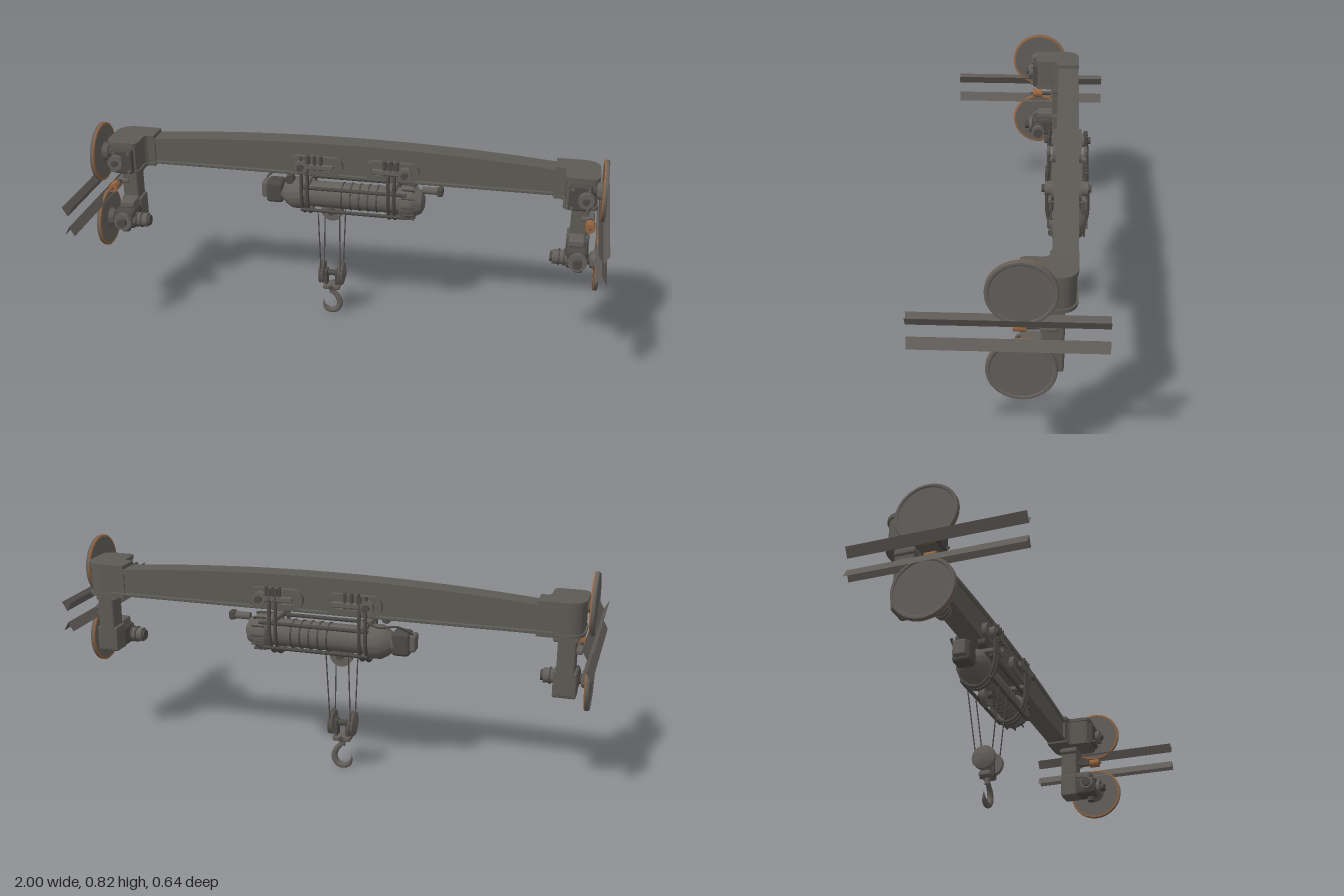
import * as THREE from 'three';
import { toCreasedNormals } from 'three/addons/utils/BufferGeometryUtils.js';
import { RoundedBoxGeometry } from 'three/addons/geometries/RoundedBoxGeometry.js';

const mat = (name, color, side = THREE.FrontSide) => Object.assign(new THREE.MeshStandardMaterial({ color, side }), { name });
const V = (x, y, z) => new THREE.Vector3(x, y, z);

export function createModel() {
  const root = new THREE.Group();
  root.name = 'overheadCrane';
  const steel = mat('steel grey', 0x625e5a);
  const beamGrey = mat('beam grey', 0x5c5a54);
  const dark = mat('dark steel', 0x4b4945);
  const rust = mat('copper brown', 0x94643f);
  const railGrey = mat('rail grey', 0x625e5a, THREE.DoubleSide);

  const add = (name, geo, m, x = 0, y = 0, z = 0) => {
    const mesh = new THREE.Mesh(geo, m);
    mesh.name = name;
    mesh.position.set(x, y, z);
    root.add(mesh);
    return mesh;
  };
  const box = (name, m, w, h, d, x, y, z, r = 0.008) =>
    add(name, new RoundedBoxGeometry(w, h, d, 2, Math.min(r, w / 3, h / 3, d / 3)), m, x, y, z);
  // Cylinder along a chosen axis
  const cyl = (name, m, axis, r, len, x, y, z, r2 = r, n = 28) => {
    const mesh = add(name, new THREE.CylinderGeometry(r2, r, len, n), m, x, y, z);
    if (axis === 'x') mesh.rotation.z = -Math.PI / 2;
    if (axis === 'z') mesh.rotation.x = Math.PI / 2;
    return mesh;
  };
  // Turned part along x, profile as [radius, offset]; s flips its direction
  const turned = (name, m, profile, x, y, z, s = 1, n = 40) => {
    const g = new THREE.LatheGeometry(profile.map(([r, t]) => new THREE.Vector2(r, t)), n);
    const mesh = add(name, toCreasedNormals(g, 0.6), m, x, y, z);
    mesh.rotation.z = -s * Math.PI / 2;
    return mesh;
  };
  const tube = (name, m, pts, r, n = 30) =>
    add(name, new THREE.TubeGeometry(new THREE.CatmullRomCurve3(pts), n, r, 10), m);
  const extrude = (shape, depth) => new THREE.ExtrudeGeometry(shape, { depth, bevelEnabled: false, curveSegments: 24 });

  // Arched girder: recessed web between two flanges
  const arched = (lo, drop) => {
    const sh = new THREE.Shape();
    sh.moveTo(-0.85, lo === null ? 0.715 : lo);
    if (lo === null) sh.quadraticCurveTo(0, 0.795, 0.85, 0.715);
    else sh.lineTo(0.85, lo);
    sh.lineTo(0.85, 0.73 - drop);
    sh.quadraticCurveTo(0, 0.81 - drop, -0.85, 0.73 - drop);
    return sh;
  };
  add('girderWeb', toCreasedNormals(extrude(arched(0.632, 0.005), 0.064), 0.5), beamGrey, 0, 0, -0.204);
  add('girderTopFlange', toCreasedNormals(extrude(arched(null, 0), 0.085), 0.5), beamGrey, 0, 0, -0.215);
  box('girderBottomFlange', beamGrey, 1.7, 0.012, 0.085, 0, 0.636, -0.1725, 0.003);

  for (const s of [1, -1]) {
    // Curved end arm, drawn in plan
    const plan = (e) => {
      const sh = new THREE.Shape();
      sh.moveTo(s * 0.79, 0.13 - e);
      sh.lineTo(s * 0.79, 0.21 + e);
      sh.lineTo(s * 0.885, 0.21 + e);
      sh.quadraticCurveTo(s * (0.95 + e), 0.21 + e, s * (0.95 + e), 0.145);
      sh.lineTo(s * (0.95 + e), 0.07);
      sh.quadraticCurveTo(s * (0.95 + e), 0.035 - e, s * 0.92, 0.035 - e);
      sh.lineTo(s * 0.85, 0.035 - e);
      sh.quadraticCurveTo(s * (0.833 - e), 0.035 - e, s * (0.833 - e), 0.06);
      sh.lineTo(s * (0.833 - e), 0.1);
      sh.quadraticCurveTo(s * (0.833 - e), 0.13 - e, s * 0.81, 0.13 - e);
      return sh;
    };
    for (const [name, y, h, e] of [['endArm', 0.63, 0.11, 0], ['endArmTopFlange', 0.735, 0.015, 0.006], ['endArmBottomFlange', 0.622, 0.012, 0.006]]) {
      const g = extrude(plan(e), h);
      g.rotateX(-Math.PI / 2);
      add(name, toCreasedNormals(g, 0.6), beamGrey, 0, y, 0);
    }
    // Front cover and hub on the arm
    box('armCover', dark, 0.085, 0.1, 0.03, s * 0.888, 0.675, -0.03);
    cyl('armHub', steel, 'z', 0.03, 0.03, s * 0.91, 0.675, -0.012);
    cyl('armHubPin', dark, 'z', 0.012, 0.03, s * 0.91, 0.675, 0);
    for (const dx of [-0.03, 0.03]) for (const dy of [-0.038, 0.038])
      cyl('coverBolt', steel, 'z', 0.006, 0.01, s * 0.888 + dx, 0.675 + dy, -0.012, 0.006, 6);

    // Hanging leg with lower drive
    box('leg', beamGrey, 0.065, 0.25, 0.075, s * 0.895, 0.515, -0.138);
    box('legFoot', beamGrey, 0.085, 0.1, 0.075, s * 0.895, 0.435, -0.137);
    box('legCollar', steel, 0.09, 0.025, 0.08, s * 0.89, 0.605, -0.135);
    box('driveHousing', dark, 0.085, 0.085, 0.1, s * 0.895, 0.425, -0.06, 0.02);
    box('driveMount', steel, 0.06, 0.03, 0.07, s * 0.89, 0.48, -0.07);
    cyl('driveFlange', steel, 'z', 0.036, 0.018, s * 0.9, 0.42, -0.006);
    cyl('driveCap', dark, 'z', 0.018, 0.025, s * 0.9, 0.42, 0.008);
    cyl('driveMotor', steel, 'x', 0.028, 0.1, s * 0.855, 0.42, -0.04);
    cyl('driveMotorCap', dark, 'x', 0.02, 0.016, s * 0.803, 0.42, -0.04);
    for (const dx of [0.83, 0.85, 0.868]) cyl('motorFin', dark, 'x', 0.032, 0.006, s * dx, 0.42, -0.04);
    cyl('drainPlug', dark, 'y', 0.017, 0.03, s * 0.905, 0.378, -0.045);

    // Wheels with axles, hubs and inner copper rim
    for (const y of [0.705, 0.42]) {
      turned('wheel', steel, [[0, -0.008], [0.11, -0.008], [0.115, -0.004], [0.115, 0.005], [0.112, 0.009], [0.104, 0.009], [0.1, 0.006], [0, 0.006]], s * 0.972, y, -0.041, s, 56);
      turned('wheelRim', rust, [[0.107, -0.002], [0.107, -0.003], [0.112, -0.003], [0.1155, 0], [0.1155, 0.003]], s * 0.966, y, -0.041, s, 56);
      turned('wheelHub', steel, [[0, -0.02], [0.03, -0.02], [0.036, -0.004], [0.04, 0], [0, 0]], s * 0.965, y, -0.041, s);
      cyl('axle', dark, 'x', 0.02, 0.07, s * 0.935, y, -0.041);
    }

    // Guide roller on a link between the rails
    cyl('guideRoller', rust, 'z', 0.018, 0.042, s * 0.935, 0.559, -0.034);
    cyl('rollerPin', dark, 'z', 0.003, 0.012, s * 0.935, 0.559, -0.007, 0.003, 8);
    cyl('rollerRod', dark, 'z', 0.008, 0.06, s * 0.935, 0.557, -0.08);
    box('rollerBracket', steel, 0.05, 0.02, 0.06, s * 0.925, 0.557, -0.125);

    // Two V rails, the lower one inverted
    for (const [ye, yr] of [[0.62, 0.585], [0.505, 0.54]]) {
      const g = new THREE.BufferGeometry();
      const p = [];
      for (const [x, y] of [[0.96, ye], [0.98, yr], [0.98, yr], [1, ye]])
        for (const z of [-0.32, 0.32]) p.push(s * x, y, z);
      g.setAttribute('position', new THREE.Float32BufferAttribute(p, 3));
      g.setIndex(s > 0 ? [0, 1, 2, 2, 1, 3, 4, 5, 6, 6, 5, 7] : [0, 2, 1, 2, 3, 1, 4, 6, 5, 6, 7, 5]);
      g.computeVertexNormals();
      add('rail', g, railGrey);
    }
  }

  // Hoist body: drum, end housings and motor
  const hy = 0.535, hz = -0.178;
  cyl('drum', steel, 'x', 0.052, 0.46, 0.03, hy, hz, 0.052, 40);
  for (let i = 0; i < 5; i++) cyl('drumBand', dark, 'x', 0.055, 0.006, -0.03 + i * 0.035, hy, hz, 0.055, 40);
  turned('gearHousing', steel, [[0, 0], [0.06, 0], [0.068, 0.008], [0.068, 0.045], [0.058, 0.06], [0.045, 0.085], [0.025, 0.095], [0, 0.095]], 0.2, hy, hz);
  turned('motorHousing', steel, [[0, 0], [0.058, 0], [0.064, 0.008], [0.064, 0.06], [0.05, 0.085], [0.036, 0.1], [0.036, 0.12], [0, 0.12]], -0.17, hy, hz, -1);
  for (let i = 0; i < 12; i++) {
    const a = i * Math.PI / 6;
    box('housingRib', dark, 0.05, 0.006, 0.012, 0.235, hy + 0.068 * Math.sin(a), hz + 0.068 * Math.cos(a)).rotation.x = -a;
  }
  box('motorBox', dark, 0.07, 0.09, 0.075, -0.305, 0.54, hz, 0.015);
  box('motorEndBox', steel, 0.035, 0.065, 0.055, -0.342, 0.545, hz);
  cyl('limitSwitch', steel, 'x', 0.014, 0.07, 0.32, 0.587, hz);
  box('limitSwitchCap', dark, 0.025, 0.035, 0.035, 0.355, 0.587, hz);
  for (const z of [-0.115, -0.235]) for (const y of [0.49, 0.585])
    cyl('tieRod', dark, 'x', 0.007, 0.42, 0.02, y, z, 0.007, 10);
  cyl('sensorKnob', dark, 'z', 0.018, 0.03, -0.235, 0.612, -0.13);
  tube('powerCable', dark, [V(-0.35, 0.58, -0.2), V(-0.3, 0.615, -0.235), V(-0.23, 0.61, -0.245), V(-0.17, 0.63, -0.235)], 0.004);

  // Suspension: oval plates, shackles and straps on both faces
  for (const s of [1, -1]) {
    const cx = s > 0 ? 0.17 : -0.13;
    for (const [face, z] of [[1, -0.127], [-1, -0.217]]) {
      const oval = new THREE.Shape();
      oval.absarc(cx + 0.07, 0.678, 0.038, -Math.PI / 2, Math.PI / 2);
      oval.absarc(cx - 0.07, 0.678, 0.038, Math.PI / 2, Math.PI * 1.5);
      const slot = new THREE.Path();
      slot.absarc(cx + 0.06, 0.678, 0.02, -Math.PI / 2, Math.PI / 2);
      slot.absarc(cx - 0.06, 0.678, 0.02, Math.PI / 2, Math.PI * 1.5);
      oval.holes.push(slot);
      add('slotRing', extrude(oval, 0.02), beamGrey, 0, 0, z - 0.01);
      cyl('trolleyRoller', steel, 'z', 0.026, 0.026, cx + s * 0.055, 0.678, z + face * 0.02);
      cyl('rollerCap', dark, 'z', 0.014, 0.02, cx + s * 0.055, 0.678, z + face * 0.035);
      box('carrierBar', steel, 0.15, 0.022, 0.014, cx, 0.682, z + face * 0.026);
      for (const dx of [-0.025, 0, 0.025])
        cyl('carrierBolt', dark, 'y', 0.007, 0.06, cx + dx, 0.698, z + face * 0.026, 0.007, 8);
    }
    // Strap looping under the drum
    for (const x of [s * 0.172 - 0.012, s * 0.172 + 0.012]) {
      const pts = [V(x, 0.72, -0.105), V(x, 0.62, -0.1), V(x, 0.53, -0.108), V(x, 0.475, -0.14), V(x, 0.46, hz),
        V(x, 0.475, -0.216), V(x, 0.53, -0.246), V(x, 0.62, -0.25), V(x, 0.72, -0.24)];
      tube('strap', dark, pts, 0.007, 40);
    }
    box('strapTie', steel, 0.04, 0.02, 0.15, s * 0.172, 0.605, hz);
  }

  // Upper sheave under the drum
  cyl('upperSheave', steel, 'z', 0.044, 0.022, -0.075, 0.47, hz);
  cyl('upperSheavePin', dark, 'z', 0.014, 0.06, -0.075, 0.47, hz, 0.014, 16);

  // Lifting ropes
  for (const [x, x2] of [[-0.115, -0.118], [-0.035, -0.032]]) {
    for (const [y1, z1, z2] of [[0.5, -0.24, -0.2], [0.48, -0.108, -0.133]]) {
      const path = new THREE.LineCurve3(V(x2, y1, z1), V(x, 0.21, z2));
      add('rope', new THREE.TubeGeometry(path, 1, 0.0025, 6), dark);
    }
  }

  // Hook block with two coned sheaves
  const bx = -0.075, bz = -0.165;
  for (const s of [1, -1]) {
    turned('blockSheave', steel, [[0, -0.012], [0.046, -0.012], [0.048, -0.008], [0.04, -0.003], [0.048, 0.002], [0.046, 0.006], [0.015, 0.014], [0, 0.016]], bx + s * 0.043, 0.192, bz, s);
    box('blockCheek', dark, 0.012, 0.07, 0.04, bx + s * 0.022, 0.172, bz);
  }
  cyl('blockAxle', dark, 'x', 0.012, 0.1, bx, 0.192, bz);
  box('blockYoke', steel, 0.07, 0.022, 0.05, bx, 0.133, bz);
  cyl('yokePin', dark, 'z', 0.01, 0.06, bx, 0.133, bz, 0.01, 12);
  cyl('hookShank', steel, 'y', 0.011, 0.03, bx, 0.113, bz, 0.011, 16);

  // Hook: tube tapered towards its tip
  const path = new THREE.CatmullRomCurve3([V(0, 0.125, 0), V(0.006, 0.105, 0), V(0.026, 0.078, 0), V(0.033, 0.05, 0),
    V(0.02, 0.024, 0), V(-0.004, 0.016, 0), V(-0.026, 0.026, 0), V(-0.036, 0.05, 0), V(-0.034, 0.062, 0)]);
  const hook = new THREE.TubeGeometry(path, 40, 0.01, 12), pos = hook.attributes.position, v = V(0, 0, 0);
  for (let i = 0; i < pos.count; i++) {
    const t = Math.floor(i / 13) / 40, c = path.getPointAt(t);
    const k = (0.75 + 0.5 * Math.sin(Math.PI * t)) * Math.min(1, (1 - t) / 0.2);
    v.fromBufferAttribute(pos, i).sub(c).multiplyScalar(k).add(c);
    pos.setXYZ(i, v.x, v.y, v.z);
  }
  add('hook', hook, steel, bx, 0, bz);

  return root;
}
